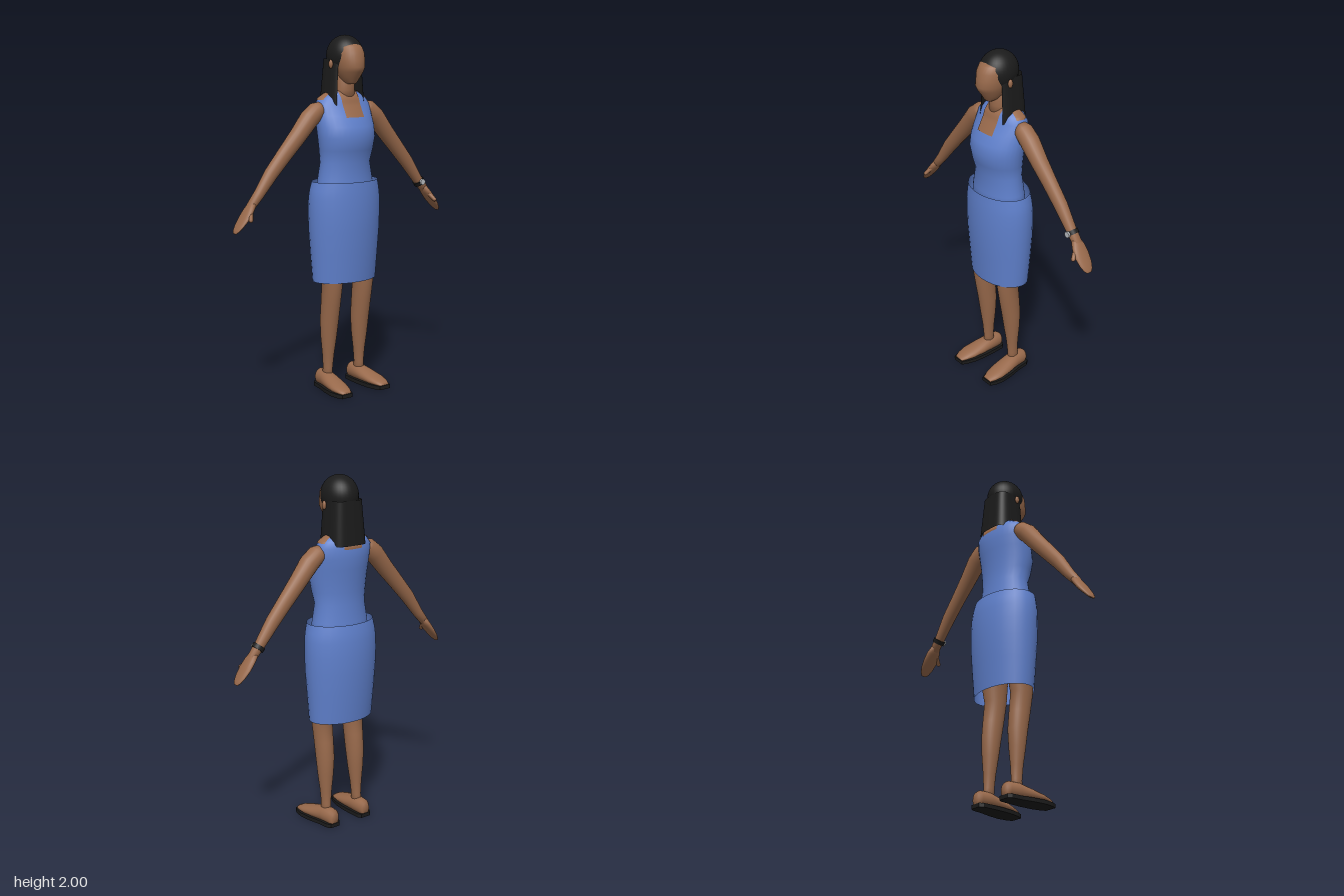
import * as THREE from 'three';

const mat = (name, hex, side = THREE.FrontSide) => {
  const m = new THREE.MeshStandardMaterial({ color: hex, side });
  m.name = name;
  return m;
};
const V = (x, y, z) => new THREE.Vector3(x, y, z);

// Elliptical ring of points around c, spanned by u and v
function ring(c, u, v, n = 32) {
  return Array.from({ length: n }, (_, j) => {
    const t = (j / n) * Math.PI * 2;
    return c.clone().addScaledVector(u, Math.cos(t)).addScaledVector(v, Math.sin(t));
  });
}

// Skin over closed rings, with optional end caps
function loft(rings, capped = true) {
  const n = rings[0].length, pts = rings.flat(), idx = [], last = rings.length - 1;
  for (let i = 0; i < last; i++) {
    for (let j = 0; j < n; j++) {
      const k = (j + 1) % n, a = i * n + j, b = i * n + k;
      idx.push(a, a + n, b, b, a + n, b + n);
    }
  }
  if (capped) {
    for (const i of [0, last]) {
      const mid = pts.length;
      pts.push(rings[i].reduce((s, p) => s.add(p), V(0, 0, 0)).divideScalar(n));
      for (let j = 0; j < n; j++) {
        const a = i * n + j, b = i * n + ((j + 1) % n);
        if (i === 0) idx.push(mid, a, b); else idx.push(mid, b, a);
      }
    }
  }
  return build(pts, idx);
}

// Open sheet over a (u, v) grid
function sheet(nu, nv, fn) {
  const pts = [], idx = [];
  for (let i = 0; i <= nv; i++) for (let j = 0; j <= nu; j++) pts.push(fn(j / nu, i / nv));
  for (let i = 0; i < nv; i++) {
    for (let j = 0; j < nu; j++) {
      const a = i * (nu + 1) + j, c = a + nu + 1;
      idx.push(a, c, a + 1, a + 1, c, c + 1);
    }
  }
  return build(pts, idx);
}

function build(pts, idx) {
  const g = new THREE.BufferGeometry().setFromPoints(pts);
  g.setIndex(idx);
  g.computeVertexNormals();
  return g;
}

// Upright form from rows of [y, half width, front z, back z, centre x]
const upright = (rows, capped) => loft(rows.map(([y, w, f, b, x = 0]) =>
  ring(V(x, y, (f + b) / 2), V(w, 0, 0), V(0, 0, (f - b) / 2))), capped);

// Limb in the xy plane from rows of [x, y, z, thickness radius, z radius]
const limb = (rows) => loft(rows.map(([x, y, z, r, rz], i) => {
  const p = rows[Math.max(i - 1, 0)], q = rows[Math.min(i + 1, rows.length - 1)];
  const d = V(q[0] - p[0], q[1] - p[1], 0).normalize();
  return ring(V(x, y, z), V(d.y * r, -d.x * r, 0), V(0, 0, rz), 20);
}));

const BODICE = [
  [1.05, 0.19, 0.1, -0.15], [1.2, 0.172, 0.095, -0.135], [1.3, 0.155, 0.085, -0.125],
  [1.37, 0.165, 0.108, -0.128], [1.44, 0.175, 0.12, -0.132], [1.5, 0.178, 0.108, -0.14],
  [1.56, 0.178, 0.075, -0.145], [1.62, 0.176, 0.042, -0.143], [1.655, 0.15, 0.03, -0.13],
  [1.685, 0.1, 0.01, -0.11], [1.7, 0.06, 0, -0.09],
];

// Bodice row interpolated at height y
function bodiceAt(y) {
  const i = Math.max(1, BODICE.findIndex((r) => r[0] >= y));
  const a = BODICE[i - 1], b = BODICE[i], k = (y - a[0]) / (b[0] - a[0]);
  return a.map((v, j) => v + (b[j] - v) * k);
}

// Thin plate lying just outside the bodice; angle(u, halfWidth) picks the place
const patch = (y0, y1, angle) => sheet(12, 16, (u, v) => {
  const [y, w, f, b] = bodiceAt(y0 + (y1 - y0) * v), t = angle(u, w), e = 0.004;
  return V((w + e) * Math.cos(t), y + e * 0.5, (f + b) / 2 + ((f - b) / 2 + e) * Math.sin(t));
});

export function createModel() {
  const skin = mat('skin', 0x98694b), skinSheet = mat('skin panel', 0x98694b, THREE.DoubleSide);
  const blue = mat('blue cloth', 0x5f80cc, THREE.DoubleSide);
  const black = mat('black', 0x1b1b1b, THREE.DoubleSide);
  const silver = mat('silver', 0xb8bcc0);
  const model = new THREE.Group();
  model.name = 'woman';
  const body = new THREE.Group();
  body.name = 'body';
  body.position.x = -0.012;
  model.add(body);
  const add = (parent, name, geo, material) => {
    const m = new THREE.Mesh(geo, material);
    m.name = name;
    parent.add(m);
    return m;
  };

  // Dress
  add(body, 'bodice', upright(BODICE), blue);
  add(body, 'skirt', upright([
    [0.63, 0.2, 0.102, -0.16], [0.8, 0.212, 0.116, -0.175], [0.92, 0.22, 0.125, -0.183],
    [1.02, 0.223, 0.128, -0.185], [1.1, 0.222, 0.127, -0.181], [1.15, 0.215, 0.124, -0.175],
    [1.197, 0.204, 0.121, -0.165],
  ], false), blue);

  // Square neckline front and back, bare shoulder tops
  const across = (sign) => (u, w) => sign * Math.acos(THREE.MathUtils.clamp((0.058 - 0.116 * u) / w, -1, 1));
  add(body, 'frontNeckline', patch(1.55, 1.695, across(1)), skinSheet);
  add(body, 'backNeckline', patch(1.61, 1.695, across(-1)), skinSheet);
  for (const c of [0, Math.PI]) {
    add(body, 'shoulderTop', patch(1.645, 1.69, (u) => c - 0.4 + 0.8 * u), skinSheet);
  }

  // Neck, face and ears
  add(body, 'neck', upright([
    [1.64, 0.064, 0.03, -0.095], [1.7, 0.058, 0.03, -0.085], [1.82, 0.055, 0.04, -0.08],
  ]), skin);
  add(body, 'head', upright([
    [1.733, 0.02, 0.062, 0.02], [1.745, 0.036, 0.075, -0.02], [1.77, 0.054, 0.09, -0.05],
    [1.8, 0.068, 0.112, -0.07], [1.825, 0.076, 0.124, -0.08], [1.86, 0.082, 0.118, -0.09],
    [1.9, 0.083, 0.112, -0.09], [1.935, 0.074, 0.094, -0.08], [1.955, 0.055, 0.066, -0.07],
  ]), skin);
  for (const s of [-1, 1]) {
    const ear = add(body, 'ear', new THREE.SphereGeometry(1, 14, 10), skin);
    ear.scale.set(0.011, 0.024, 0.014);
    ear.position.set(s * 0.1, 1.842, -0.015);
  }

  // Hair: rounded crown plus a long curtain open at the face
  const crown = add(body, 'hairCrown', new THREE.SphereGeometry(1, 32, 24), black);
  crown.scale.set(0.1, 0.112, 0.112);
  crown.position.set(0, 1.888, -0.02);
  add(body, 'longHair', sheet(40, 10, (u, v) => {
    const t = -Math.PI - 0.85 + u * (Math.PI + 1.7);
    const c = Math.cos(t), s = Math.sin(t), k = 1 - v;
    const w = 0.094 + 0.018 * k, d = 0.086 + 0.014 * k;
    const tip = Math.max(s, 0) * 0.03 * k;
    return V(Math.sign(c) * w * Math.abs(c) ** 0.5 * (1 + tip),
      1.87 - 0.24 * k - tip * 0.5, -0.045 - 0.005 * k + Math.sign(s) * d * Math.abs(s) ** 0.7);
  }), black);

  // Foot stations: [z, centre x, half width, height]
  const FOOT = [
    [-0.125, 0.112, 0.026, 0.085], [-0.105, 0.112, 0.04, 0.1], [-0.04, 0.114, 0.046, 0.103],
    [0.03, 0.122, 0.054, 0.084], [0.1, 0.129, 0.055, 0.065], [0.15, 0.132, 0.044, 0.05],
    [0.18, 0.133, 0.03, 0.036],
  ];
  for (const s of [-1, 1]) {
    const side = new THREE.Group();
    side.name = s > 0 ? 'leftLimbs' : 'rightLimbs';
    side.scale.x = s;
    body.add(side);

    // Arm, flat hand and thumb
    add(side, 'arm', limb([
      [0.145, 1.612, -0.045, 0.03, 0.035], [0.17, 1.592, -0.045, 0.05, 0.052],
      [0.225, 1.545, -0.045, 0.054, 0.054], [0.3, 1.455, -0.046, 0.049, 0.046],
      [0.38, 1.365, -0.048, 0.045, 0.039], [0.47, 1.262, -0.05, 0.04, 0.036],
      [0.55, 1.155, -0.05, 0.03, 0.029], [0.605, 1.09, -0.05, 0.024, 0.028],
    ]), skin);
    add(side, 'hand', limb([
      [0.585, 1.113, -0.05, 0.022, 0.026], [0.615, 1.075, -0.048, 0.021, 0.043],
      [0.645, 1.035, -0.046, 0.019, 0.048], [0.675, 0.998, -0.046, 0.014, 0.042],
      [0.695, 0.972, -0.046, 0.01, 0.03], [0.705, 0.958, -0.046, 0.005, 0.015],
    ]), skin);
    const thumb = add(side, 'thumb', new THREE.CapsuleGeometry(0.012, 0.05, 4, 10), skin);
    thumb.position.set(0.627, 1.048, -0.005);
    thumb.quaternion.setFromUnitVectors(V(0, 1, 0), V(0.35, -0.6, 0.55).normalize());

    // Leg
    add(side, 'leg', upright([
      [0.06, 0.028, -0.005, -0.075, 0.112], [0.12, 0.026, -0.005, -0.068, 0.11],
      [0.2, 0.033, 0.002, -0.07, 0.109], [0.3, 0.045, 0.017, -0.077, 0.108],
      [0.4, 0.052, 0.032, -0.081, 0.107], [0.5, 0.053, 0.051, -0.073, 0.107],
      [0.62, 0.057, 0.07, -0.06, 0.107], [0.8, 0.075, 0.08, -0.095, 0.107],
      [1.0, 0.09, 0.08, -0.12, 0.105],
    ]), skin);

    // Foot on a flat sole
    add(side, 'foot', loft(FOOT.map(([z, x, w, h]) =>
      ring(V(x, 0.015 + (h - 0.015) * 0.45, z), V(-w, 0, 0), V(0, (h - 0.015) * 0.55, 0), 24))), skin);
    const outline = [
      ...FOOT.map(([z, x, w]) => new THREE.Vector2(x + w + 0.005, z * 1.03)),
      ...FOOT.map(([z, x, w]) => new THREE.Vector2(x - w - 0.005, z * 1.03)).reverse(),
    ];
    const sole = new THREE.ExtrudeGeometry(new THREE.Shape(outline), { depth: 0.022, bevelEnabled: false });
    sole.rotateX(Math.PI / 2).translate(0, 0.022, 0);
    add(side, 'sole', sole, black);

    // Wristwatch on the left arm only
    if (s > 0) {
      const watch = new THREE.Group();
      watch.name = 'wristwatch';
      watch.position.set(0.563, 1.139, -0.05);
      watch.rotation.z = 0.7;
      side.add(watch);
      add(watch, 'strap', new THREE.CylinderGeometry(0.035, 0.035, 0.024, 24), black);
      const dial = add(watch, 'watchFace', new THREE.CylinderGeometry(0.017, 0.017, 0.012, 20), silver);
      dial.rotation.x = Math.PI / 2;
      dial.position.z = 0.036;
    }
  }
  return model;
}
